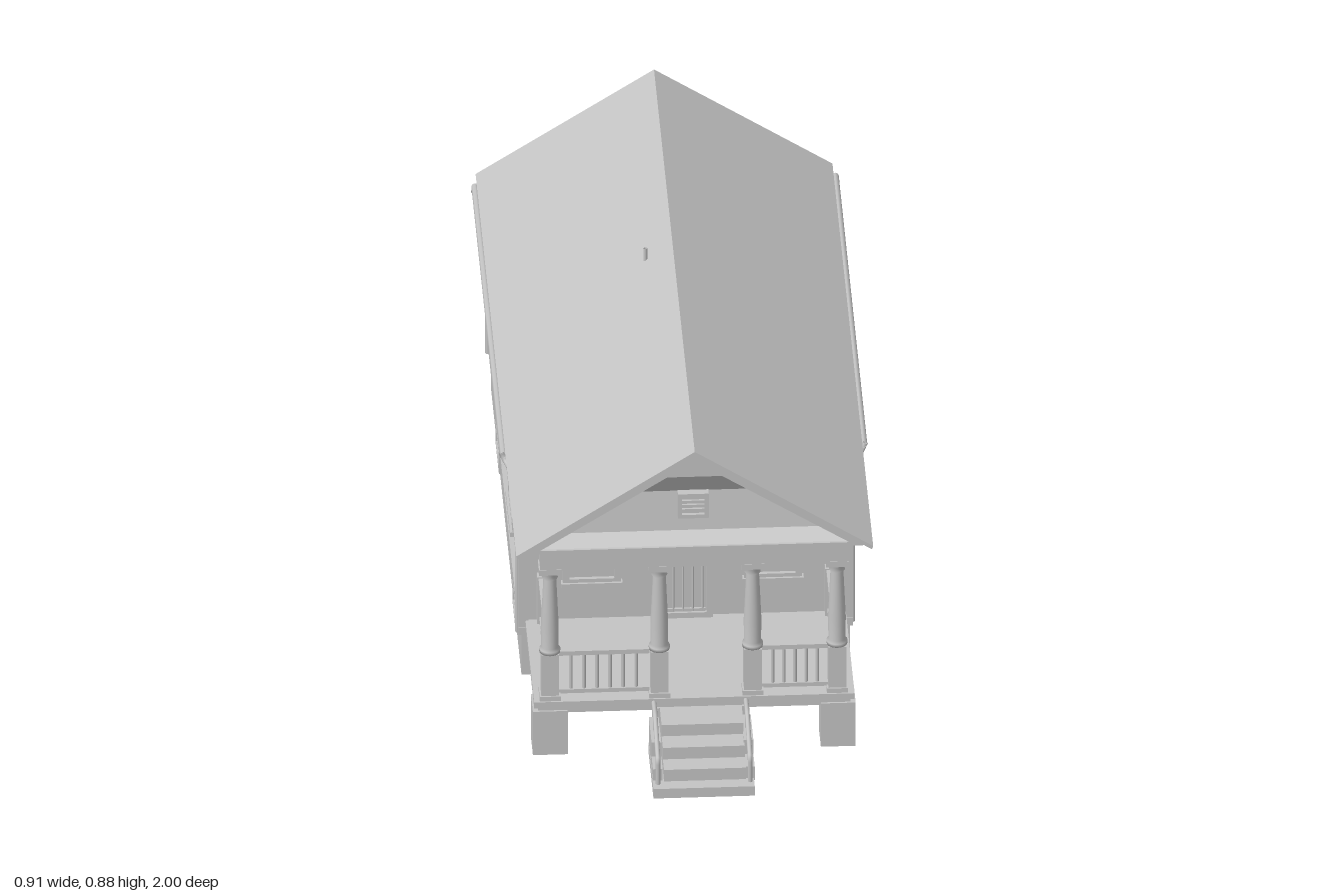
import * as THREE from 'three';

const grey = new THREE.MeshStandardMaterial({ color: 0xc4c4c4, side: THREE.DoubleSide });
grey.name = 'plain grey';

export function createModel() {
  const house = new THREE.Group();
  house.name = 'house';

  const add = (name, geo, parent = house) => {
    const m = new THREE.Mesh(geo, grey);
    m.name = name;
    parent.add(m);
    return m;
  };
  const group = (name, parent = house) => {
    const g = new THREE.Group();
    g.name = name;
    parent.add(g);
    return g;
  };
  // Box given by its extents on each axis
  const box = (name, x0, x1, y0, y1, z0, z1, parent = house) => {
    const m = add(name, new THREE.BoxGeometry(x1 - x0, y1 - y0, z1 - z0), parent);
    m.position.set((x0 + x1) / 2, (y0 + y1) / 2, (z0 + z1) / 2);
    return m;
  };
  // Round rod through a list of points
  const rod = (name, pts, r, parent = house) => {
    const path = new THREE.CurvePath();
    const v = pts.map(p => new THREE.Vector3(...p));
    for (let i = 1; i < v.length; i++) path.add(new THREE.LineCurve3(v[i - 1], v[i]));
    return add(name, new THREE.TubeGeometry(path, (v.length - 1) * 6, r, 8), parent);
  };
  const extrudeZ = (pts, z0, z1) => {
    const shape = new THREE.Shape(pts.map(p => new THREE.Vector2(...p)));
    return new THREE.ExtrudeGeometry(shape, { depth: z1 - z0, bevelEnabled: false }).translate(0, 0, z0);
  };

  // Foundation, walls and trim
  box('foundation', -0.405, 0.405, 0, 0.125, -0.945, 0.4);
  box('walls', -0.4, 0.4, 0.125, 0.59, -0.95, 0.395);
  box('skirtBoard', -0.412, 0.412, 0.115, 0.137, -0.96, 0.402);
  for (const s of [-1, 1]) {
    for (const z of [-0.95, 0.388]) {
      box('cornerBoard', s * 0.4 - 0.012, s * 0.4 + 0.012, 0.13, 0.585, z - 0.012, z + 0.012);
    }
    box('wallTopTrim', s * 0.4 - 0.008, s * 0.4 + 0.008, 0.56, 0.585, -0.955, 0.4);
  }
  box('backTopTrim', -0.405, 0.405, 0.555, 0.585, -0.962, -0.95);

  // Roof, soffit and rake trim
  add('roof', extrudeZ([[-0.44, 0.588], [0, 0.875], [0.44, 0.588], [0.437, 0.579], [0, 0.857], [-0.437, 0.579]], -1, 0.8));
  box('soffit', -0.425, 0.425, 0.582, 0.592, -0.965, 0.785);
  const rake = [[-0.425, 0.588], [0, 0.862], [0.425, 0.588], [0.395, 0.588], [0, 0.842], [-0.395, 0.588]];
  add('frontRakeTrim', extrudeZ(rake, 0.775, 0.792));
  add('backRakeTrim', extrudeZ(rake, -0.992, -0.975));

  // Gables: a stepped face swept through rows of [height, z]
  const gable = (name, rows) => {
    const pos = [], half = y => (0.862 - y) * 1.53;
    for (let i = 1; i < rows.length; i++) {
      const [y0, z0] = rows[i - 1], [y1, z1] = rows[i];
      const a = [-half(y0), y0, z0], b = [half(y0), y0, z0], c = [half(y1), y1, z1], d = [-half(y1), y1, z1];
      pos.push(...(z0 > 0 ? [a, b, c, a, c, d] : [a, c, b, a, d, c]).flat());
    }
    const g = new THREE.BufferGeometry();
    g.setAttribute('position', new THREE.Float32BufferAttribute(pos, 3));
    g.computeVertexNormals();
    add(name, g);
  };
  gable('frontGable', [[0.59, 0.78], [0.62, 0.75], [0.725, 0.735], [0.785, 0.77], [0.86, 0.77]]);
  gable('backGable', [[0.59, -0.97], [0.62, -0.95], [0.725, -0.95], [0.785, -0.975], [0.86, -0.975]]);
  const vent = group('gableVent');
  box('ventPanel', -0.03, 0.03, 0.665, 0.72, 0.735, 0.748, vent);
  for (const x of [-0.034, 0.032]) box('ventSide', x - 0.005, x + 0.005, 0.658, 0.727, 0.735, 0.757, vent);
  for (const y of [0.662, 0.722]) box('ventEdge', -0.038, 0.036, y - 0.005, y + 0.005, 0.735, 0.757, vent);
  for (const y of [0.68, 0.692, 0.704]) box('ventSlat', -0.03, 0.03, y - 0.002, y + 0.002, 0.74, 0.754, vent);

  // Roof pipe
  rod('roofPipe', [[-0.067, 0.82, -0.18], [-0.067, 0.864, -0.18]], 0.005);

  // Gutters and downspouts
  for (const s of [-1, 1]) {
    rod('gutter', [[s * 0.444, 0.58, -0.955], [s * 0.444, 0.58, 0.31]], 0.009);
    for (const z of [-0.935, 0.37]) {
      const zTop = Math.min(z, 0.3);
      rod('downspout', [[s * 0.449, 0.58, zTop], [s * 0.44, 0.56, zTop], [s * 0.413, 0.543, z], [s * 0.413, 0.11, z]], 0.007);
    }
  }

  // Sash window or door frame in its own plane, facing +z
  const opening = (name, w, y0, y1, border) => {
    const g = group(name), h = w / 2;
    const shape = new THREE.Shape([[-h, y0], [h, y0], [h, y1], [-h, y1]].map(p => new THREE.Vector2(...p)));
    const i = h - border;
    shape.holes.push(new THREE.Path([[-i, y0 + border], [-i, y1 - border], [i, y1 - border], [i, y0 + border]].map(p => new THREE.Vector2(...p))));
    add('frame', new THREE.ExtrudeGeometry(shape, { depth: 0.014, bevelEnabled: false }), g);
    box('panel', -i, i, y0 + border, y1 - border, 0, 0.004, g);
    return g;
  };
  const sashWindow = (w, y0, y1) => {
    const g = opening('window', w, y0, y1, 0.016), h = w / 2 - 0.016, mid = (y0 + y1) / 2;
    box('meetingRail', -h, h, mid - 0.004, mid + 0.004, 0.003, 0.011, g);
    box('sill', -w / 2 - 0.004, w / 2 + 0.004, y0 - 0.006, y0 + 0.006, 0, 0.02, g);
    return g;
  };
  for (const x of [-0.232, 0.215]) sashWindow(0.143, 0.26, 0.512).position.set(x, 0, 0.395);
  for (const s of [-1, 1]) {
    for (const z of [0.067, -0.535]) {
      const w = sashWindow(0.195, 0.262, 0.538);
      w.position.set(s * 0.4, 0, z);
      w.rotation.y = s * Math.PI / 2;
    }
    // Foundation vents
    for (const z of [0.2, -0.545]) {
      const v = opening('foundationVent', 0.15, 0.045, 0.105, 0.008);
      v.scale.z = 0.5;
      v.position.set(s * 0.405, 0, z);
      v.rotation.y = s * Math.PI / 2;
    }
  }

  // Front door with a barred screen
  const door = opening('frontDoor', 0.147, 0.155, 0.51, 0.015);
  door.position.set(-0.007, 0, 0.395);
  for (const x of [-0.048, -0.024, 0, 0.024, 0.048]) rod('doorBar', [[x, 0.175, 0.012], [x, 0.485, 0.012]], 0.0025, door);
  for (const y of [0.178, 0.32, 0.338, 0.48]) box('doorCrossBar', -0.055, 0.055, y - 0.004, y + 0.004, 0.008, 0.014, door);

  // Porch deck, piers and beams
  box('porchDeck', -0.395, 0.395, 0.138, 0.155, 0.39, 0.785);
  box('deckApron', -0.385, 0.385, 0.118, 0.138, 0.39, 0.775);
  for (const s of [-1, 1]) box('porchPier', s * 0.355 - 0.043, s * 0.355 + 0.043, 0, 0.125, 0.695, 0.78);
  box('stairPier', -0.1, 0.135, 0, 0.125, 0.695, 0.78);
  box('frontBeam', -0.38, 0.385, 0.532, 0.584, 0.735, 0.78);
  for (const s of [-1, 1]) box('sideBeam', s * 0.36 - 0.02, s * 0.36 + 0.02, 0.545, 0.584, 0.39, 0.74);

  // Columns: square plinth with a turned tapering shaft
  const profile = [[0.0, 0.285], [0.026, 0.285], [0.026, 0.294], [0.021, 0.3], [0.022, 0.36], [0.016, 0.495],
    [0.02, 0.499], [0.016, 0.505], [0.025, 0.522], [0.025, 0.533]].map(p => new THREE.Vector2(...p));
  for (const x of [-0.355, -0.085, 0.145, 0.353]) {
    const c = group('porchColumn');
    c.position.set(x, 0, 0.755);
    box('plinth', -0.022, 0.022, 0.155, 0.285, -0.022, 0.022, c);
    box('plinthBase', -0.026, 0.026, 0.155, 0.168, -0.026, 0.026, c);
    add('shaft', new THREE.LatheGeometry(profile, 20), c);
    box('capital', -0.028, 0.028, 0.518, 0.534, -0.026, 0.026, c);
  }

  // Railings run along local x from 0 to length
  const railing = (length, n) => {
    const g = group('porchRailing');
    box('topRail', 0, length, 0.275, 0.287, -0.009, 0.009, g);
    box('bottomRail', 0, length, 0.165, 0.176, -0.007, 0.007, g);
    for (let i = 1; i <= n; i++) {
      const x = length * i / (n + 1);
      rod('baluster', [[x, 0.17, 0], [x, 0.28, 0]], 0.0045, g);
    }
    return g;
  };
  railing(0.225, 6).position.set(-0.335, 0, 0.755);
  railing(0.165, 5).position.set(0.167, 0, 0.755);
  for (const s of [-1, 1]) {
    const r = railing(0.33, 8);
    r.position.set(s * 0.355, 0, 0.735);
    r.rotation.y = Math.PI / 2;
    box('wallPost', s * 0.355 - 0.012, s * 0.355 + 0.012, 0.155, 0.29, 0.395, 0.418);
  }

  // Front steps and handrails
  const steps = group('frontSteps');
  box('bottomStep', -0.113, 0.137, 0, 0.027, 0.78, 1, steps);
  [[0.06, 0.965], [0.093, 0.915], [0.125, 0.86]].forEach(([y, z], i) =>
    box('step', -0.085, 0.117, i ? y - 0.033 : 0.027, y, 0.78, z, steps));
  for (const x of [-0.1, 0.127]) {
    box('stairSide', x - 0.012, x + 0.012, 0.02, 0.06, 0.78, 0.96, steps);
    box('stairSideUpper', x - 0.012, x + 0.012, 0.06, 0.1, 0.78, 0.9, steps);
    rod('handrail', [[x, 0.145, 0.785], [x, 0.147, 0.83], [x, 0.09, 0.975], [x, 0.025, 0.975]], 0.006, steps);
    rod('handrailPost', [[x, 0.08, 0.84], [x, 0.143, 0.84]], 0.005, steps);
  }
  return house;
}
